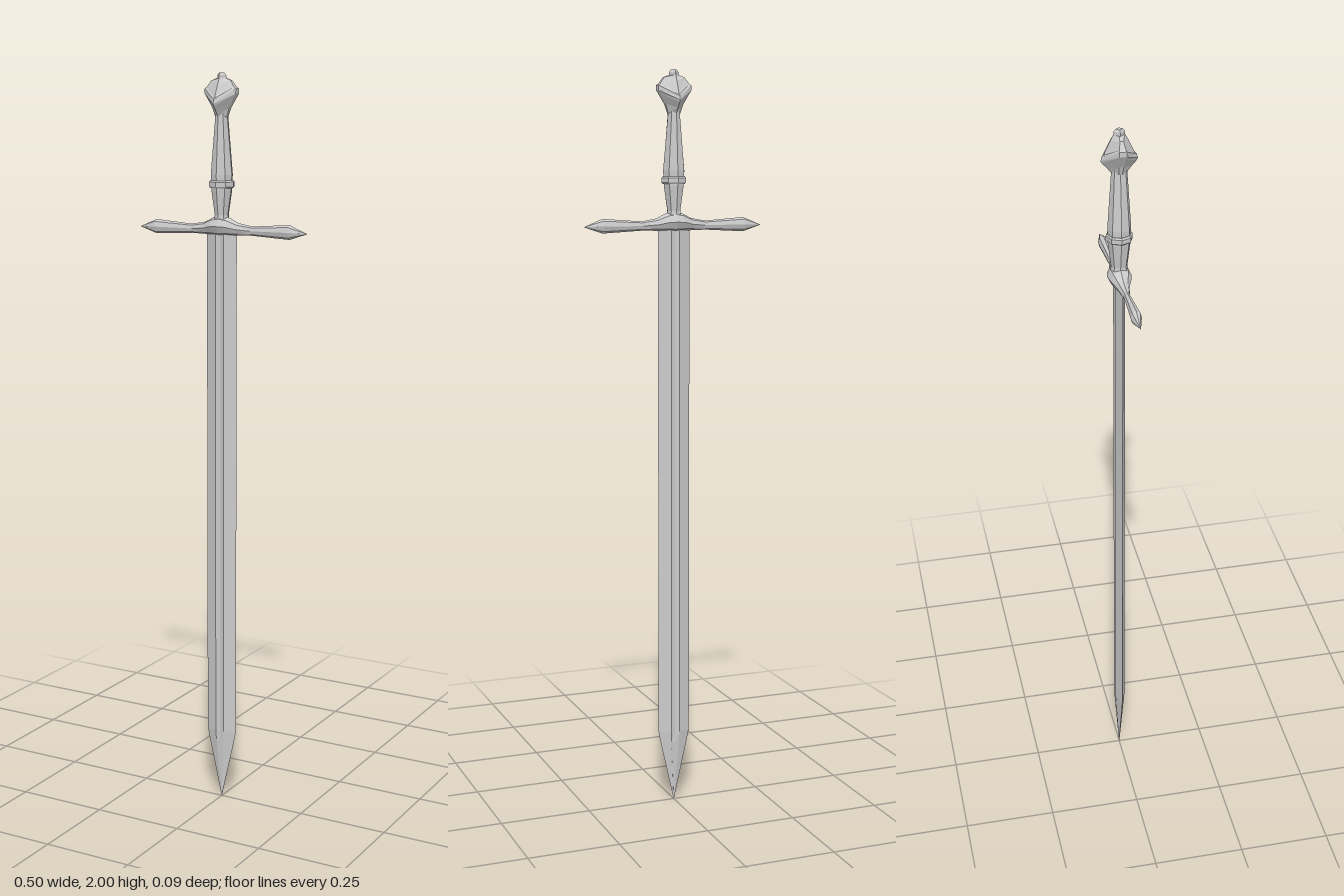
import * as THREE from 'three';

const steel = new THREE.MeshStandardMaterial({ color: 0xcccccc, flatShading: true });

// Skins a list of equal-length point loops and closes both ends.
function loft(name, rings) {
  const n = rings[0].length;
  const pos = rings.flat(2);
  const index = [];
  for (let i = 0; i < rings.length - 1; i++) {
    for (let j = 0; j < n; j++) {
      const a = i * n + j, b = i * n + (j + 1) % n;
      index.push(a, b, b + n, a, b + n, a + n);
    }
  }
  const last = (rings.length - 1) * n;
  for (let j = 1; j < n - 1; j++) {
    index.push(0, j + 1, j, last, last + j, last + j + 1);
  }
  const geo = new THREE.BufferGeometry();
  geo.setAttribute('position', new THREE.Float32BufferAttribute(pos, 3));
  geo.setIndex(index);
  const flat = geo.toNonIndexed();
  flat.computeVertexNormals();
  const mesh = new THREE.Mesh(flat, steel);
  mesh.name = name;
  return mesh;
}

const angles = (n) => Array.from({ length: n }, (_, i) => (i / n) * Math.PI * 2);

// Horizontal oval ring with half-widths rx and rz.
const oval = (y, rx, rz, n = 8) =>
  angles(n).map((a) => [rx * Math.cos(a), y, -rz * Math.sin(a)]);

// Blade section: two cutting edges and a shallow groove on each face.
function bladeRing(y, w, r, t, groove) {
  return [
    [w, y, 0], [r, y, -t], [0, y, -groove], [-r, y, -t],
    [-w, y, 0], [-r, y, t], [0, y, groove], [r, y, t],
  ];
}

// Crossguard section in the yz plane.
const guardRing = ([x, y, hy, hz]) =>
  angles(8).map((a) => [x, y + hy * Math.cos(a), hz * Math.sin(a)]);

// Pommel section: a diamond with blunt side corners; the side corners sit higher.
function pommelRing([y, rx, rz, lift]) {
  const c = rz * 0.2;
  return [
    [rx, y + lift, -c], [0, y, -rz], [-rx, y + lift, -c],
    [-rx, y + lift, c], [0, y, rz], [rx, y + lift, c],
  ];
}

export function createModel() {
  const sword = new THREE.Group();
  sword.name = 'sword';

  // Blade, from the point upward
  sword.add(loft('blade', [
    bladeRing(0, 0.0005, 0.0002, 0.0005, 0.0005),
    bladeRing(0.17, 0.039, 0.011, 0.011, 0.011),
    bladeRing(0.2, 0.045, 0.012, 0.013, 0.010),
    bladeRing(1.6, 0.045, 0.012, 0.013, 0.010),
  ]));

  // Crossguard: one arm profile, mirrored about the centre
  const arm = [
    [0.25, 1.595, 0.0005, 0.0005],
    [0.2, 1.597, 0.019, 0.014],
    [0.09, 1.596, 0.012, 0.008],
    [0.05, 1.599, 0.016, 0.016],
    [0.022, 1.605, 0.024, 0.027],
  ];
  const mirrored = arm.map(([x, ...rest]) => [-x, ...rest]);
  const center = [0, 1.606, 0.027, 0.031];
  sword.add(loft('crossguard', [...mirrored, center, ...arm.reverse()].map(guardRing)));

  // Grip, swelling toward the collar
  sword.add(loft('grip', [
    oval(1.61, 0.021, 0.024),
    oval(1.635, 0.018, 0.021),
    oval(1.70, 0.028, 0.029),
    oval(1.74, 0.030, 0.030),
    oval(1.89, 0.016, 0.020),
    oval(1.91, 0.016, 0.020),
  ]));

  // Collar around the grip
  sword.add(loft('gripCollar', [
    oval(1.705, 0.031, 0.031),
    oval(1.709, 0.035, 0.034),
    oval(1.721, 0.035, 0.034),
    oval(1.725, 0.031, 0.031),
  ]));

  // Faceted pommel with a raised band
  sword.add(loft('pommel', [
    [1.888, 0.017, 0.020, 0],
    [1.902, 0.025, 0.031, 0.010],
    [1.915, 0.041, 0.043, 0.024],
    [1.921, 0.046, 0.046, 0.026],
    [1.932, 0.046, 0.043, 0.028],
    [1.935, 0.041, 0.039, 0.028],
    [1.972, 0.029, 0.022, 0.008],
    [1.986, 0.014, 0.014, 0],
  ].map(pommelRing)));

  // Small button on top
  sword.add(loft('pommelButton', [
    oval(1.98, 0.014, 0.015, 4),
    oval(1.994, 0.013, 0.014, 4),
    oval(2.0, 0.008, 0.009, 4),
  ]));

  return sword;
}
